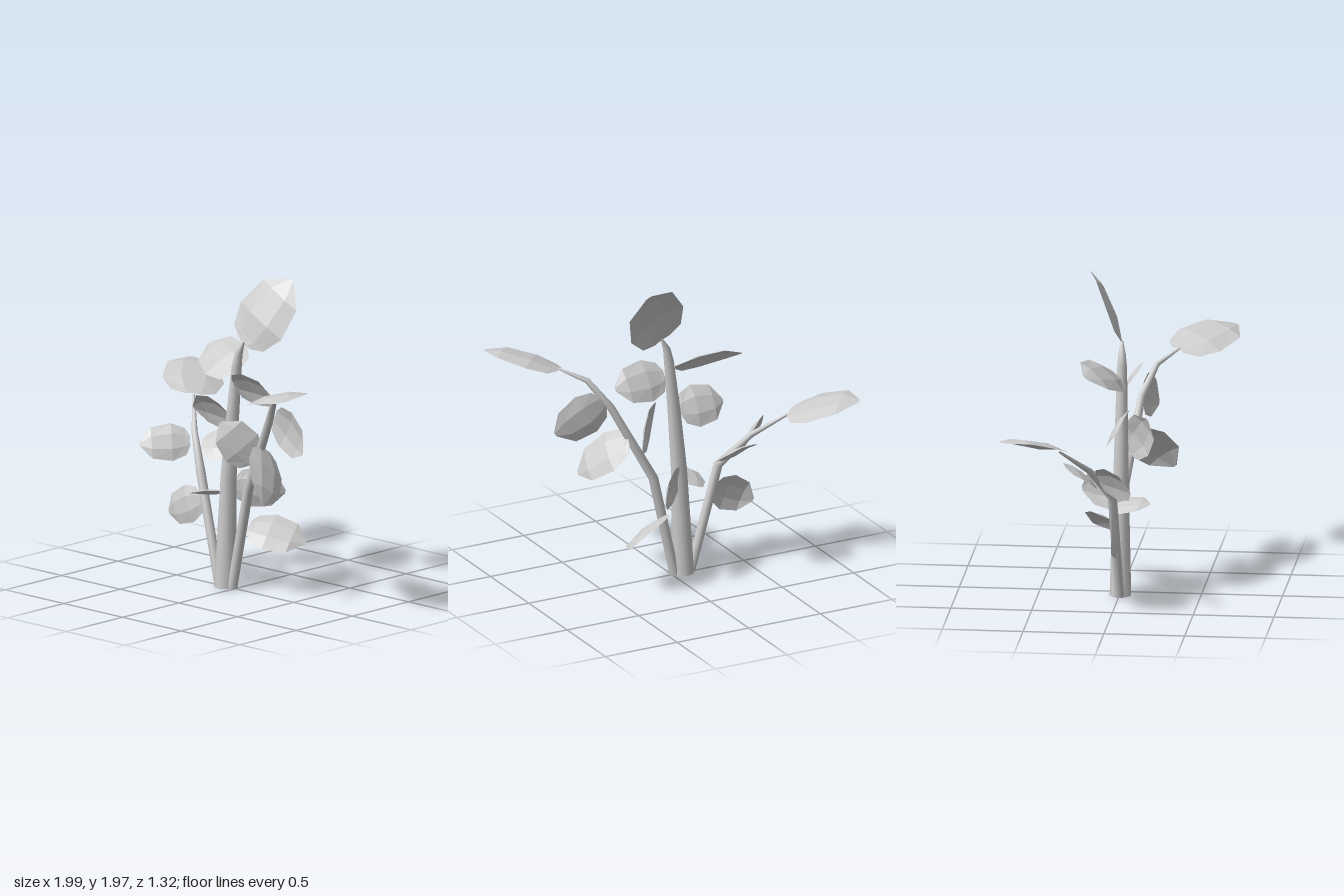
import * as THREE from 'three';

const stemMaterial = new THREE.MeshStandardMaterial({ color: 0xcccccc });
const leafMaterial = new THREE.MeshStandardMaterial({ color: 0xcccccc, flatShading: true, side: THREE.DoubleSide });

function makeMesh(positions, index, material, name) {
  const geometry = new THREE.BufferGeometry();
  geometry.setAttribute('position', new THREE.Float32BufferAttribute(positions, 3));
  geometry.setIndex(index);
  geometry.computeVertexNormals();
  const mesh = new THREE.Mesh(geometry, material);
  mesh.name = name;
  return mesh;
}

// Tapered stem: each row is x, y, z, radius; rings follow the bends.
function makeStem(name, rows) {
  const sides = 10;
  const points = rows.map(([x, y, z]) => new THREE.Vector3(x, y, z));
  const positions = [], index = [];
  rows.forEach((row, i) => {
    const tangent = points[Math.min(i + 1, rows.length - 1)].clone()
      .sub(points[Math.max(i - 1, 0)]).normalize();
    if (i === 0) tangent.set(0, 1, 0);
    const v = new THREE.Vector3(1, 0, 0).cross(tangent).normalize();
    const u = tangent.clone().cross(v).normalize();
    for (let k = 0; k < sides; k++) {
      const a = (k / sides) * Math.PI * 2;
      const p = points[i].clone()
        .addScaledVector(u, Math.cos(a) * row[3])
        .addScaledVector(v, Math.sin(a) * row[3]);
      positions.push(p.x, p.y, p.z);
      if (i > 0) {
        const n = (k + 1) % sides, b = i * sides, c = b - sides;
        index.push(c + k, b + k, b + n, c + k, b + n, c + n);
      }
    }
  });
  const group = new THREE.Group();
  group.name = name;
  group.add(makeMesh(positions, index, stemMaterial, name + 'Shaft'));
  const cap = new THREE.Mesh(new THREE.CircleGeometry(rows[0][3], sides), stemMaterial);
  cap.rotation.x = Math.PI / 2;
  cap.position.copy(points[0]);
  cap.name = name + 'Base';
  group.add(cap);
  return group;
}

// Leaf blade outline: position along the midrib, half width as a fraction
const outline = [[0, 0.3], [0.09, 0.72], [0.36, 1], [0.76, 0.82], [1, 0.1]];

// Faceted leaf from base to tip, its upper face turned towards the normal,
// arched along its length and with drooping edges.
function makeLeaf(name, base, tip, normal, width) {
  const start = new THREE.Vector3(...base);
  const axis = new THREE.Vector3(...tip).sub(start);
  const length = axis.length();
  axis.normalize();
  const up = new THREE.Vector3(...normal);
  up.addScaledVector(axis, -up.dot(axis)).normalize();
  const across = up.clone().cross(axis);
  const columns = [-1, -0.4, 0.4, 1];
  const positions = [], index = [];
  outline.forEach(([t, w], i) => {
    columns.forEach((s, j) => {
      const lift = length * 0.1 * Math.sin(t ** 1.2 * Math.PI) - width * 0.1 * (s * w) ** 2;
      const p = start.clone().addScaledVector(axis, t * length)
        .addScaledVector(across, s * w * width / 2)
        .addScaledVector(up, lift);
      positions.push(p.x, p.y, p.z);
      if (i > 0 && j > 0) {
        const d = i * 4 + j, c = d - 1, b = d - 4, a = b - 1;
        index.push(a, d, b, a, c, d);
      }
    });
  });
  return makeMesh(positions, index, leafMaterial, name);
}

export function createModel() {
  const plant = new THREE.Group();
  plant.name = 'leafyPlant';

  // Three stems from a shared foot
  plant.add(makeStem('mainStem', [
    [-0.08, 0, 0.005, 0.068], [-0.05, 0.7, 0.005, 0.05], [-0.015, 1.1, 0.005, 0.04],
    [0.02, 1.42, 0.005, 0.031], [0.035, 1.5, 0.003, 0.024], [0.075, 1.58, 0, 0.006]]));
  plant.add(makeStem('rightStem', [
    [-0.13, 0, 0.005, 0.03], [-0.31, 0.68, -0.02, 0.029], [-0.48, 0.89, -0.14, 0.019],
    [-0.655, 1.06, -0.315, 0.007]]));
  plant.add(makeStem('leftStem', [
    [-0.02, 0, 0.005, 0.032], [0.125, 0.66, 0.01, 0.031], [0.38, 1.15, 0.09, 0.025],
    [0.5, 1.32, 0.17, 0.018], [0.64, 1.385, 0.295, 0.006]]));

  // Leaves: name, base, tip, upper normal, width
  const leaves = [
    // Large leaves at the stem tips
    ['mainTipLeaf', [0.07, 1.57, 0], [0.28, 1.965, -0.22], [0.16, 0.38, 0.9], 0.4],
    ['leftTipLeaf', [0.63, 1.38, 0.29], [0.98, 1.46, 0.615], [-0.25, 0.97, 0], 0.385],
    ['rightTipLeaf', [-0.65, 1.07, -0.31], [-0.97, 1.19, -0.63], [0.36, 0.92, 0.17], 0.385],
    // Main stem leaves
    ['mainLeaf', [-0.01, 1.38, -0.02], [-0.39, 1.46, -0.18], [-0.07, 0.82, 0.57], 0.31],
    ['mainLeaf', [0.03, 1.31, 0.04], [0.37, 1.28, 0.05], [0, 0.55, -0.84], 0.27],
    ['mainLeaf', [-0.055, 1.09, 0], [-0.355, 1.09, 0], [0, 0.5, -0.86], 0.27],
    ['mainLeaf', [-0.03, 0.655, -0.03], [0.18, 0.6, -0.26], [0.82, 0.08, 0.57], 0.25],
    ['mainLeaf', [-0.13, 0.58, -0.04], [-0.19, 0.61, 0.2], [-0.25, 0.95, -0.25], 0.2],
    // Left stem leaves
    ['leftLeaf', [0.43, 1.19, 0.09], [0.73, 1.01, 0.16], [0.25, -0.03, -0.97], 0.28],
    ['leftLeaf', [0.19, 0.84, 0.03], [0.03, 1.09, 0.16], [0.75, 0.12, 0.65], 0.26],
    ['leftLeaf', [0.29, 0.94, 0.03], [0.51, 0.67, 0.28], [0.83, 0.5, -0.15], 0.29],
    ['leftLeaf', [0.09, 0.41, -0.03], [0.4, 0.32, -0.21], [0.4, 0.8, 0.45], 0.29],
    // Right stem leaves
    ['rightLeaf', [-0.44, 0.81, -0.16], [-0.21, 0.84, -0.285], [0.1, 0.8, 0.6], 0.26],
    ['rightLeaf', [-0.47, 0.84, -0.09], [-0.69, 0.82, 0.13], [0.6, 0.45, 0.65], 0.24],
    ['rightLeaf', [-0.29, 0.52, 0], [-0.565, 0.39, 0], [0, 0.1, 1], 0.24],
  ];
  leaves.forEach((leaf) => plant.add(makeLeaf(...leaf)));
  return plant;
}
